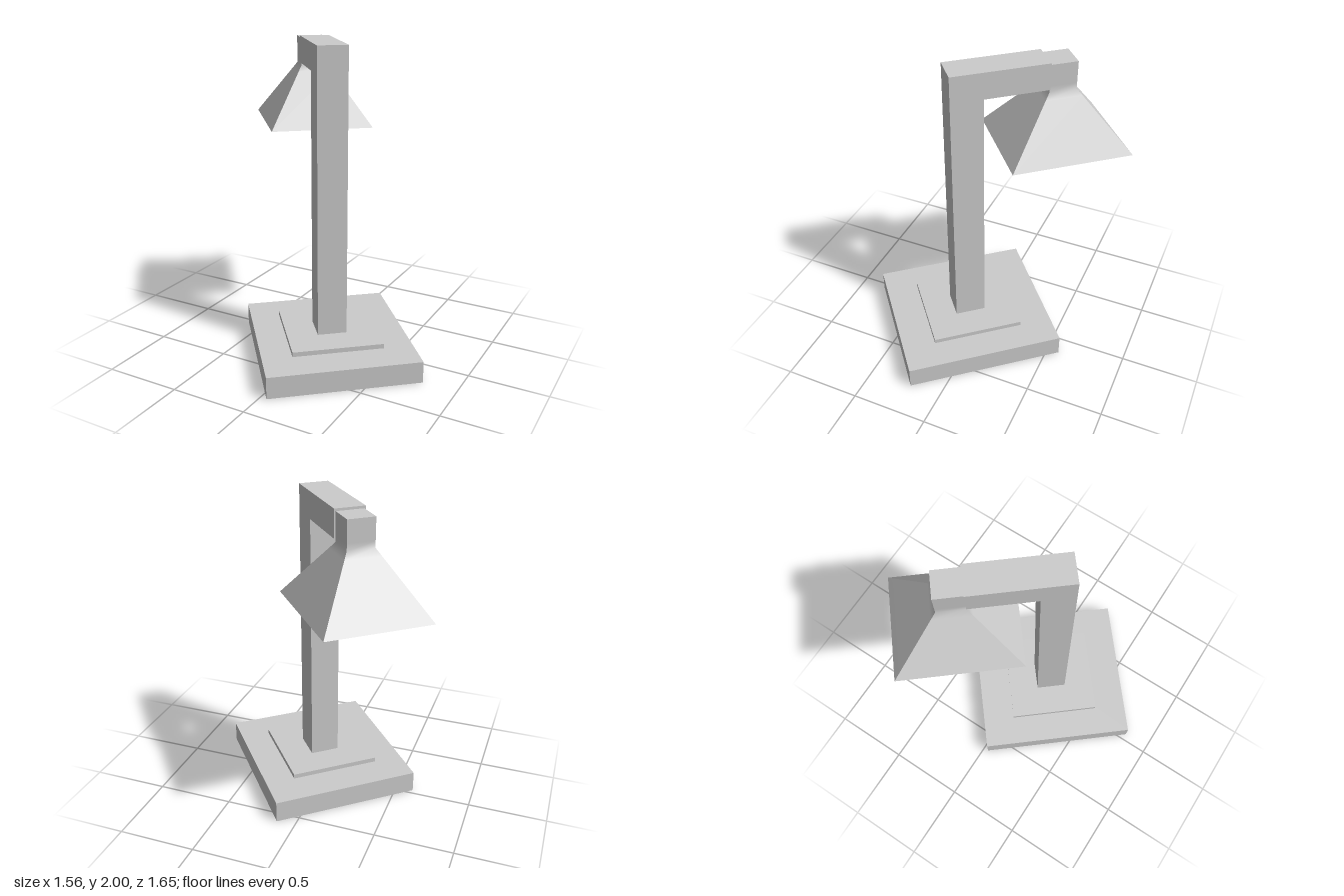
import * as THREE from 'three';
import { toCreasedNormals } from 'three/addons/utils/BufferGeometryUtils.js';

const material = new THREE.MeshStandardMaterial({ color: 0xcccccc });

function addMesh(parent, name, geometry) {
  const mesh = new THREE.Mesh(geometry, material);
  mesh.name = name;
  parent.add(mesh);
  return mesh;
}

// Box standing on the height y0
function addSlab(parent, name, width, depth, y0, y1) {
  const geometry = new THREE.BoxGeometry(width, y1 - y0, depth);
  geometry.translate(0, (y0 + y1) / 2, 0);
  return addMesh(parent, name, geometry);
}

// Skin over rectangular rings [halfWidth, halfDepth, y], closed at both ends
function rectLoft(rings) {
  const positions = [];
  const index = [];
  for (const [hx, hz, y] of rings) {
    positions.push(-hx, y, hz, hx, y, hz, hx, y, -hz, -hx, y, -hz);
  }
  for (let r = 0; r < rings.length - 1; r++) {
    for (let i = 0; i < 4; i++) {
      const a = r * 4 + i, b = r * 4 + (i + 1) % 4;
      index.push(a, b, b + 4, a, b + 4, a + 4);
    }
  }
  const t = (rings.length - 1) * 4;
  index.push(0, 2, 1, 0, 3, 2, t, t + 1, t + 2, t, t + 2, t + 3);
  const geometry = new THREE.BufferGeometry();
  geometry.setAttribute('position', new THREE.Float32BufferAttribute(positions, 3));
  geometry.setIndex(index);
  return toCreasedNormals(geometry, 0.8);
}

export function createModel() {
  const model = new THREE.Group();
  model.name = 'deskLamp';

  // The lamp stands turned about the vertical axis; its arm reaches along local -z
  const lamp = new THREE.Group();
  lamp.name = 'lamp';
  lamp.rotation.y = 0.695;
  lamp.position.set(0.083, 0, 0.122);
  model.add(lamp);

  // Foot
  addSlab(lamp, 'base', 0.96, 1.03, 0, 0.14);
  addSlab(lamp, 'basePlate', 0.58, 0.60, 0.14, 0.17);

  // Post and arm as one angled bar
  const width = 0.188;
  const profile = new THREE.Shape([
    [-0.1, 0.17], [0.1, 0.17], [0.1, 1.83], [0.5, 1.83], [0.5, 2], [-0.1, 2],
  ].map(([x, y]) => new THREE.Vector2(x, y)));
  const bar = new THREE.ExtrudeGeometry(profile, { depth: width, bevelEnabled: false });
  bar.translate(0, 0, -width / 2);
  bar.rotateY(Math.PI / 2);
  addMesh(lamp, 'postAndArm', bar);

  // Shade: recessed underside, rim, flared hood, soft bend, square neck
  const neck = 0.084;
  const shade = addMesh(lamp, 'shade', rectLoft([
    [0.25, 0.28, 1.48],
    [0.25, 0.28, 1.44],
    [0.325, 0.377, 1.44],
    [0.110, 0.116, 1.77],
    [neck, neck, 1.81],
    [neck, neck, 1.85],
    [neck, neck, 1.985],
  ]));
  shade.position.z = -0.584;

  return model;
}
